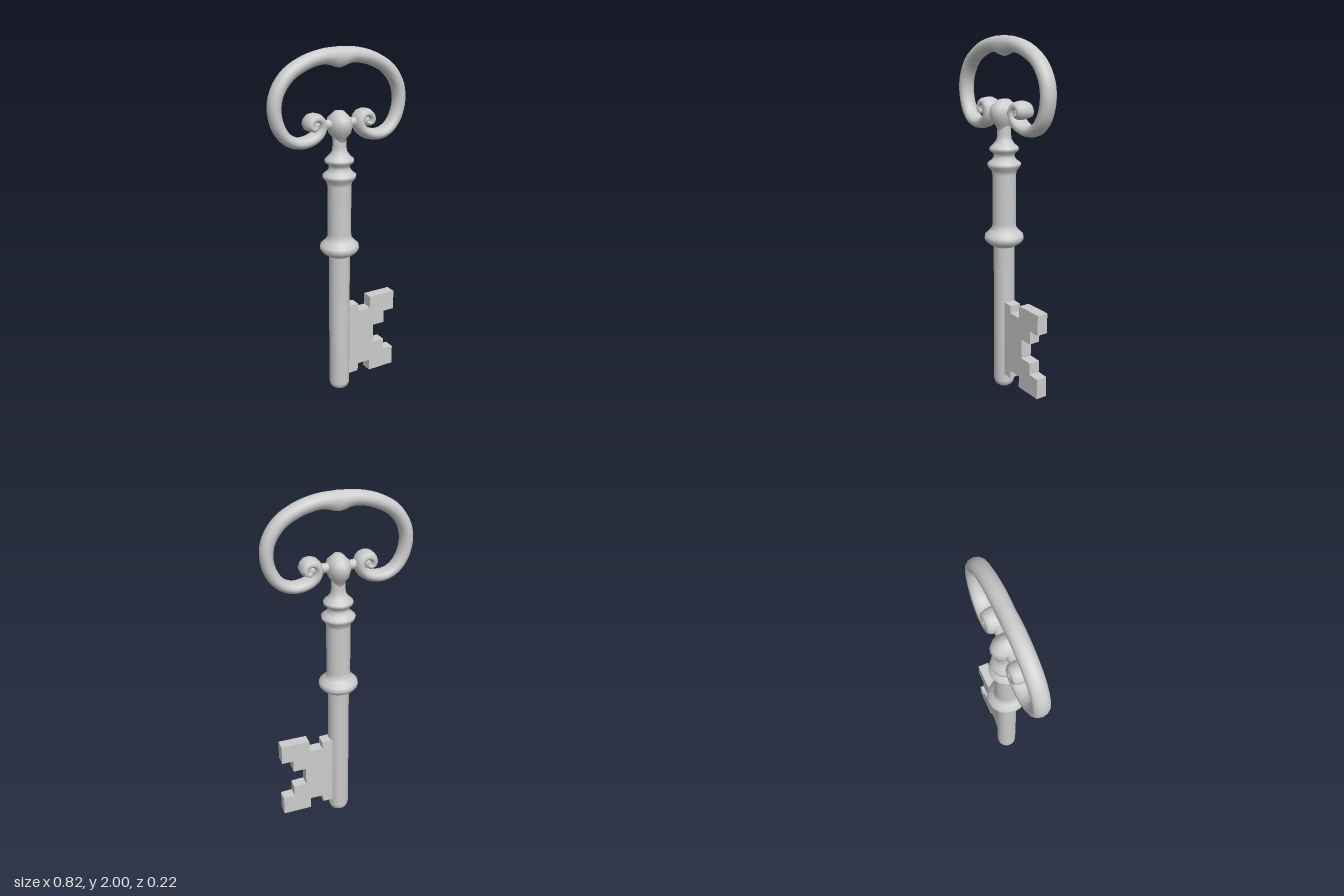
import * as THREE from 'three';

const material = new THREE.MeshStandardMaterial({ color: 0xcccccc });

function part(name, geometry, parent) {
  const mesh = new THREE.Mesh(geometry, material);
  mesh.name = name;
  parent.add(mesh);
  return mesh;
}

// Oval tube along a flat path; each path point is (x, y, half width in the plane)
function sweepFlat(points, depthAt, steps, sides) {
  const curve = new THREE.CatmullRomCurve3(points.map(p => new THREE.Vector3(...p)), false, 'centripetal');
  const pos = [], index = [];
  for (let i = 0; i <= steps; i++) {
    const u = i / steps;
    const p = curve.getPointAt(u), t = curve.getTangentAt(u);
    const len = Math.hypot(t.x, t.y);
    const nx = -t.y / len, ny = t.x / len, depth = depthAt(u);
    for (let j = 0; j < sides; j++) {
      const a = j / sides * Math.PI * 2, w = p.z * Math.cos(a);
      pos.push(p.x + nx * w, p.y + ny * w, depth * Math.sin(a));
      if (i < steps) {
        const k = i * sides + j, l = i * sides + (j + 1) % sides;
        index.push(k, k + sides, l, l, k + sides, l + sides);
      }
    }
  }
  // end caps
  for (let j = 1; j < sides - 1; j++) {
    const e = steps * sides;
    index.push(0, j, j + 1, e, e + j + 1, e + j);
  }
  // orient faces outward
  for (let i = 0; i < index.length; i += 3) [index[i + 1], index[i + 2]] = [index[i + 2], index[i + 1]];
  const g = new THREE.BufferGeometry();
  g.setAttribute('position', new THREE.Float32BufferAttribute(pos, 3));
  g.setIndex(index);
  g.computeVertexNormals();
  return g;
}

export function createModel() {
  const key = new THREE.Group();
  key.name = 'key';

  // Turned shaft with collar, double ring and neck
  const profile = [
    [0, 0], [0.035, 0.004], [0.052, 0.018], [0.06, 0.045], [0.06, 0.45], [0.06, 0.855], [0.072, 0.862],
    [0.098, 0.88], [0.111, 0.9], [0.108, 0.922], [0.08, 0.948], [0.068, 0.965], [0.066, 0.99], [0.066, 1.265],
    [0.072, 1.288], [0.09, 1.308], [0.093, 1.325], [0.07, 1.342], [0.057, 1.36], [0.06, 1.38],
    [0.08, 1.395], [0.08, 1.41], [0.058, 1.43], [0.042, 1.452], [0.038, 1.48], [0.038, 1.56],
  ];
  part('shaft', new THREE.LatheGeometry(profile.map(p => new THREE.Vector2(...p)), 16), key);

  // Knob between the scrolls, with a small finial
  const knob = [[0.036, 1.5], [0.05, 1.53], [0.074, 1.555], [0.085, 1.595], [0.078, 1.63], [0.05, 1.652], [0.03, 1.668], [0, 1.672]];
  part('knob', new THREE.LatheGeometry(knob.map(p => new THREE.Vector2(...p)), 16), key).scale.x = 0.76;

  // Bow handle, curling into a scroll at each end
  const half = [
    [0.05, 1.95, 0.045], [0.1, 1.95, 0.04], [0.2, 1.925, 0.038], [0.3, 1.868, 0.037], [0.36, 1.785, 0.036],
    [0.376, 1.7, 0.035], [0.355, 1.61, 0.034], [0.31, 1.55, 0.032], [0.25, 1.523, 0.031], [0.18, 1.53, 0.031],
    [0.13, 1.56, 0.03], [0.113, 1.607, 0.027], [0.133, 1.641, 0.026], [0.168, 1.643, 0.026],
    [0.189, 1.615, 0.024], [0.174, 1.59, 0.02], [0.152, 1.598, 0.014],
  ];
  const path = [...half.map(([x, y, r]) => [-x, y, r]).reverse(), [0, 1.944, 0.054], ...half];
  const depthAt = u => 0.045 + 0.01 * THREE.MathUtils.smoothstep(Math.abs(u - 0.5), 0.25, 0.4);
  part('bow', sweepFlat(path, depthAt, 120, 12), key);

  // Scroll eyes and the short links to the knob
  for (const side of [-1, 1]) {
    const eye = part('scrollEye', new THREE.SphereGeometry(0.035, 12, 8), key);
    eye.position.set(side * 0.15, 1.61, 0);
    eye.scale.z = 1.2;
    const link = part('scrollLink', new THREE.CylinderGeometry(0.026, 0.026, 0.06, 10), key);
    link.rotation.z = Math.PI / 2;
    link.position.set(side * 0.075, 1.602, 0);
  }

  // Toothed bit
  const outline = [
    [0.02, 0.54], [0.11, 0.535], [0.11, 0.49], [0.19, 0.49], [0.19, 0.56], [0.357, 0.56], [0.357, 0.445],
    [0.29, 0.445], [0.29, 0.37], [0.215, 0.37], [0.215, 0.258], [0.29, 0.255], [0.29, 0.188], [0.357, 0.185],
    [0.357, 0.07], [0.19, 0.07], [0.19, 0.138], [0.11, 0.138], [0.11, 0.092], [0.02, 0.09],
  ];
  const shape = new THREE.Shape(outline.map(p => new THREE.Vector2(...p)));
  const bit = new THREE.ExtrudeGeometry(shape, { depth: 0.064, bevelEnabled: false });
  part('bit', bit.translate(0, 0, -0.032), key);

  return key;
}
